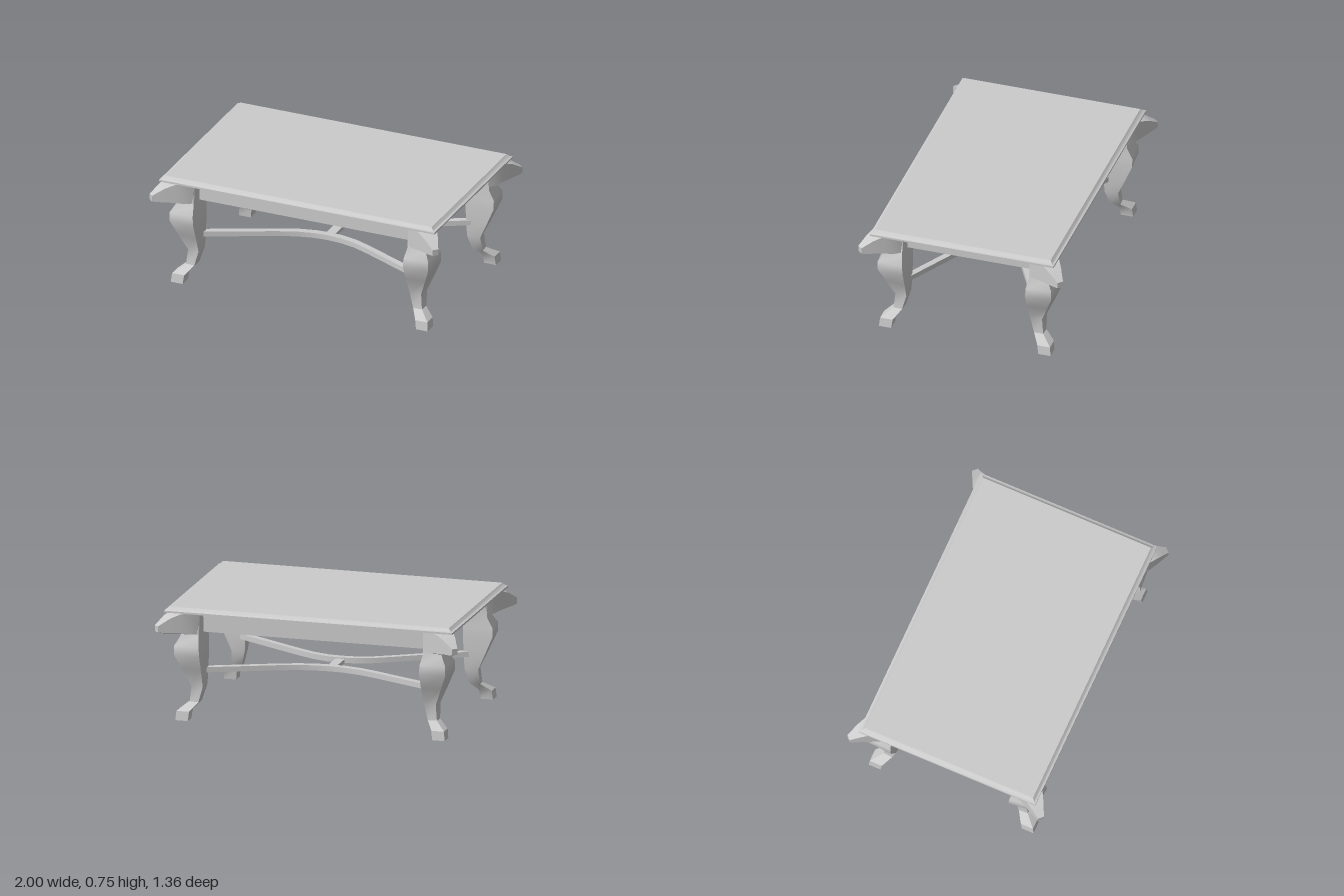
import * as THREE from 'three';
import { toCreasedNormals } from 'three/addons/utils/BufferGeometryUtils.js';

const material = new THREE.MeshStandardMaterial({ color: 0xcccccc });

// Skin a list of equal-length rings, close both ends, smooth the gentle edges
function loft(name, rings) {
  const pos = [];
  const tri = (a, b, c) => pos.push(...a, ...b, ...c);
  const n = rings[0].length;
  for (let i = 0; i < rings.length - 1; i++) {
    for (let j = 0; j < n; j++) {
      const k = (j + 1) % n;
      const a = rings[i], b = rings[i + 1];
      tri(a[j], a[k], b[k]);
      tri(a[j], b[k], b[j]);
    }
  }
  const first = rings[0], last = rings[rings.length - 1];
  for (let j = 1; j < n - 1; j++) {
    tri(first[0], first[j + 1], first[j]);
    tri(last[0], last[j], last[j + 1]);
  }
  const geometry = new THREE.BufferGeometry();
  geometry.setAttribute('position', new THREE.Float32BufferAttribute(pos, 3));
  const mesh = new THREE.Mesh(toCreasedNormals(geometry, 0.6), material);
  mesh.name = name;
  return mesh;
}

function box(name, w, h, d, x, y, z) {
  const mesh = new THREE.Mesh(new THREE.BoxGeometry(w, h, d), material);
  mesh.position.set(x, y, z);
  mesh.name = name;
  return mesh;
}

// Moulded table top: height, half width, half depth
function tableTop() {
  const levels = [
    [0.712, 0.955, 0.612], [0.724, 0.955, 0.612],
    [0.729, 0.941, 0.599], [0.747, 0.924, 0.583],
  ];
  return loft('tableTop', levels.map(([y, x, z]) =>
    [[x, y, z], [x, y, -z], [-x, y, -z], [-x, y, z]]));
}

// Curved kite-section leg: height, inner and outer extent, side taper, front taper
function legPost() {
  const stations = [
    [0, 0.49, 0.572, 0, 0],
    [0.06, 0.482, 0.566, 0, 0],
    [0.11, 0.436, 0.503, 0.004, 0.004],
    [0.21, 0.408, 0.497, 0.005, 0.008],
    [0.33, 0.403, 0.55, 0.006, 0.012],
    [0.43, 0.4, 0.592, 0.008, 0.014],
    [0.49, 0.4, 0.592, 0.012, 0.014],
    [0.55, 0.402, 0.555, 0.02, 0.01],
    [0.712, 0.404, 0.54, 0.022, 0.01],
  ];
  return loft('legPost', stations.map(([y, lo, hi, side, front]) => [
    [lo + side, y, hi], [hi - front, y, hi - front], [hi, y, lo + side], [lo, y, lo],
  ]));
}

// Keeled bracket swelling out of the corner: diagonal offset, keel, side bottom, top, half width
function cornerBracket() {
  const stations = [
    [0.425, 0.558, 0.56, 0.712, 0.018],
    [0.482, 0.556, 0.568, 0.712, 0.086],
    [0.525, 0.555, 0.572, 0.712, 0.082],
    [0.57, 0.566, 0.582, 0.708, 0.063],
    [0.615, 0.577, 0.59, 0.684, 0.045],
    [0.645, 0.584, 0.592, 0.657, 0.03],
    [0.668, 0.596, 0.598, 0.637, 0.02],
  ];
  return loft('cornerBracket', stations.map(([t, keel, bottom, top, w]) => {
    const s = w * Math.SQRT1_2;
    return [[t - s, top, t + s], [t - s, bottom, t + s], [t, keel, t],
      [t + s, bottom, t - s], [t + s, top, t - s]];
  }));
}

// Bowed stretcher between two legs, drooping towards its middle
function stretcher() {
  const half = [[0, 0.294, 0.113], [0.09, 0.294, 0.119], [0.2, 0.296, 0.148],
    [0.32, 0.299, 0.203], [0.76, 0.309, 0.43]];
  const path = [...half.slice(1).reverse().map(([x, y, z]) => [-x, y, z]), ...half];
  const h = 0.017, d = 0.023;
  return loft('stretcher', path.map(([x, y, z]) =>
    [[x, y + h, z + d], [x, y - h, z + d], [x, y - h, z - d], [x, y + h, z - d]]));
}

export function createModel() {
  const model = new THREE.Group();
  model.name = 'table';
  model.add(tableTop());

  // Apron rails, front/back and both sides
  for (const s of [-1, 1]) {
    model.add(box(s > 0 ? 'frontApron' : 'backApron', 1.54, 0.142, 0.06, 0, 0.641, s * 0.45));
    model.add(box(s > 0 ? 'leftApron' : 'rightApron', 0.06, 0.142, 0.88, s * 0.77, 0.641, 0));
  }

  // Four legs, each turned to face its own corner
  for (const sx of [-1, 1]) {
    for (const sz of [-1, 1]) {
      const leg = new THREE.Group();
      leg.name = (sz > 0 ? 'front' : 'back') + (sx > 0 ? 'Left' : 'Right') + 'Leg';
      leg.add(legPost(), cornerBracket());
      leg.position.x = sx * 0.32;
      leg.rotation.y = Math.atan2(sx, sz) - Math.PI / 4;
      model.add(leg);
    }
  }

  // Two bowed stretchers joined by a short bridge
  const front = stretcher();
  front.name = 'frontStretcher';
  const back = stretcher();
  back.name = 'backStretcher';
  back.rotation.y = Math.PI;
  model.add(front, back, box('stretcherBridge', 0.06, 0.024, 0.19, 0, 0.29, 0));

  return model;
}
